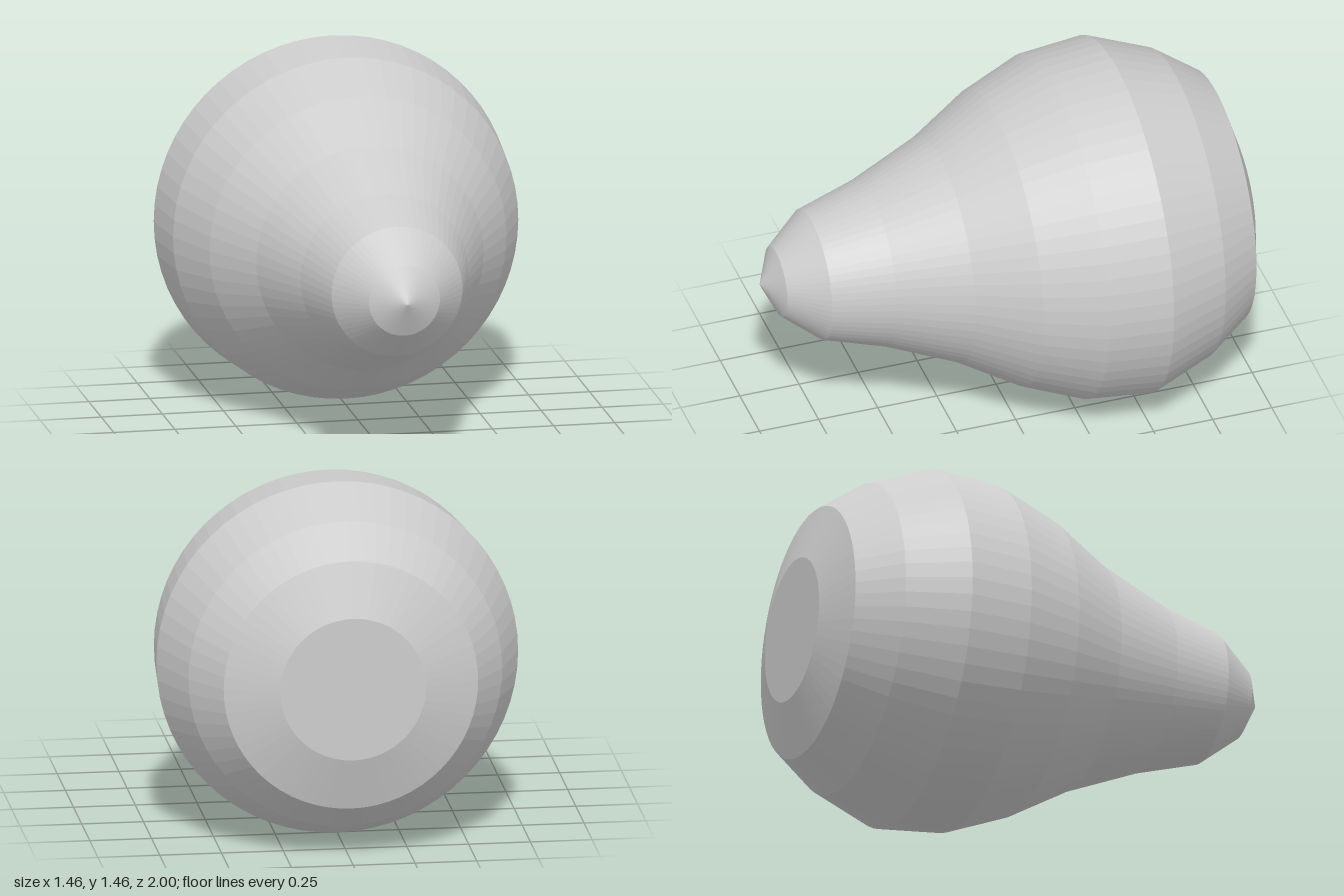
import * as THREE from 'three';

// Profile as [z, radius], from the flat back end to the pointed nose
const profile = [
  [-1, 0], [-1, 0.295], [-0.93, 0.515], [-0.76, 0.635], [-0.51, 0.732],
  [-0.245, 0.707], [0, 0.608], [0.24, 0.465], [0.53, 0.343],
  [0.78, 0.268], [0.93, 0.145], [1, 0],
];

export function createModel() {
  const model = new THREE.Group();
  const grey = new THREE.MeshStandardMaterial({ color: 0xcccccc, flatShading: true });
  grey.name = 'light grey';

  // Turned bulb body, laid on its side with the nose to the front
  const geometry = new THREE.LatheGeometry(
    profile.map(([z, r]) => new THREE.Vector2(r, z)), 64);
  geometry.rotateX(Math.PI / 2);

  const body = new THREE.Mesh(geometry, grey);
  body.name = 'bulbBody';
  body.position.y = 0.732;
  model.add(body);
  return model;
}
